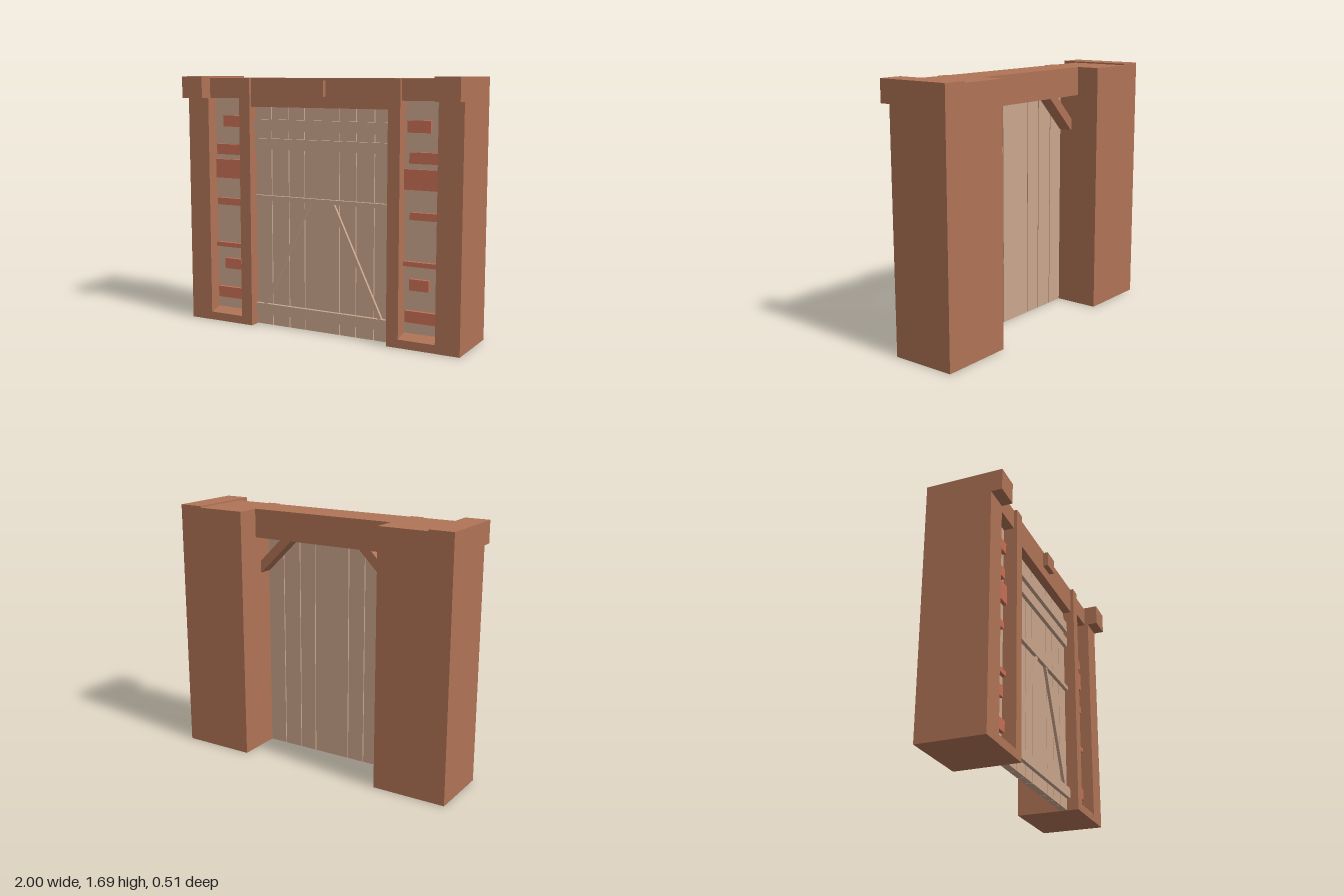
import * as THREE from 'three';

const mat = (name, color) => {
  const m = new THREE.MeshStandardMaterial({ color });
  m.name = name;
  return m;
};

export function createModel() {
  const frame = mat('brown frame', 0xb07456);
  const pale = mat('pale wood and plaster', 0xcaa68c);
  const brick = mat('red brick', 0xc86e55);

  const model = new THREE.Group();
  model.name = 'gate';

  // Box given by its limits on each axis
  const box = (parent, name, m, [x0, x1], [y0, y1], [z0, z1]) => {
    const mesh = new THREE.Mesh(new THREE.BoxGeometry(Math.abs(x1 - x0), y1 - y0, z1 - z0), m);
    mesh.position.set((x0 + x1) / 2, (y0 + y1) / 2, (z0 + z1) / 2);
    mesh.name = name;
    parent.add(mesh);
    return mesh;
  };

  // Slanted bar between two points in the xy plane
  const bar = (parent, name, m, [ax, ay], [bx, by], width, [z0, z1]) => {
    const len = Math.hypot(bx - ax, by - ay);
    const mesh = new THREE.Mesh(new THREE.BoxGeometry(len, width, z1 - z0), m);
    mesh.position.set((ax + bx) / 2, (ay + by) / 2, (z0 + z1) / 2);
    mesh.rotation.z = Math.atan2(by - ay, bx - ax);
    mesh.name = name;
    parent.add(mesh);
  };

  // Bricks on the left pillar: inner x, outer x, bottom y, top y
  const bricks = [
    [0.607, 0.763, 1.35, 1.425], [0.622, 0.818, 1.16, 1.23], [0.588, 0.828, 0.997, 1.125],
    [0.63, 0.82, 0.81, 0.857], [0.588, 0.834, 0.515, 0.545], [0.632, 0.763, 0.363, 0.435],
    [0.602, 0.822, 0.155, 0.23],
  ];

  for (const s of [1, -1]) {
    const pillar = new THREE.Group();
    pillar.name = s > 0 ? 'leftPillar' : 'rightPillar';
    model.add(pillar);
    const part = (name, m, [x0, x1], y, z) => box(pillar, name, m, [s * x0, s * x1], y, z);

    part('outerPost', frame, [0.837, 1], [0, 1.69], [-0.253, 0.182]);
    part('postCap', frame, [0.837, 1], [1.545, 1.69], [0.182, 0.253]);
    part('pillarCore', frame, [0.505, 0.837], [0, 1.68], [-0.253, 0.085]);
    part('innerPost', frame, [0.505, 0.587], [0, 1.68], [0.085, 0.18]);
    part('panelHeader', frame, [0.587, 0.837], [1.545, 1.68], [0.085, 0.158]);
    part('plasterPanel', pale, [0.587, 0.837], [0.07, 1.545], [0.085, 0.09]);

    // Sill sloping down towards the front
    const profile = new THREE.Shape([[0.085, 0], [0.18, 0], [0.18, 0.055], [0.085, 0.081]]
      .map(([z, y]) => new THREE.Vector2(-z, y)).reverse());
    const sillGeo = new THREE.ExtrudeGeometry(profile, { depth: 0.25, bevelEnabled: false });
    sillGeo.rotateY(Math.PI / 2);
    const sill = new THREE.Mesh(sillGeo, frame);
    sill.position.x = s > 0 ? 0.587 : -0.837;
    sill.name = 'sill';
    pillar.add(sill);

    for (const [x0, x1, y0, y1] of bricks) part('brick', brick, [x0, x1], [y0, y1], [0.09, 0.115]);

    // Corner brace under the lintel
    bar(pillar, 'cornerBrace', frame, [s * 0.52, 1.265], [s * 0.28, 1.5], 0.06, [-0.045, 0.05]);
  }

  // Lintel with a small block at its centre
  box(model, 'lintel', frame, [-0.505, 0.505], [1.49, 1.68], [-0.095, 0.158]);
  box(model, 'lintelBlock', frame, [-0.063, 0.06], [1.563, 1.665], [0.158, 0.193]);

  // Door: planks with narrow gaps, rails and two diagonals
  const door = new THREE.Group();
  door.name = 'door';
  model.add(door);
  const seams = [-0.508, -0.383, -0.25, -0.13, 0.13, 0.25, 0.38, 0.508];
  for (let i = 0; i < seams.length - 1; i++)
    box(door, 'plank', pale, [seams[i] + 0.003, seams[i + 1] - 0.003], [0, 1.49], [0.05, 0.1]);
  for (const y of [[0.08, 0.15], [0.868, 0.897], [1.21, 1.28], [1.333, 1.407]])
    box(door, 'rail', pale, [-0.505, 0.505], y, [0.1, 0.125]);
  for (const s of [1, -1])
    bar(door, 'diagonal', pale, [s * 0.435, 0.14], [s * 0.082, 0.875], 0.025, [0.1, 0.12]);

  return model;
}
